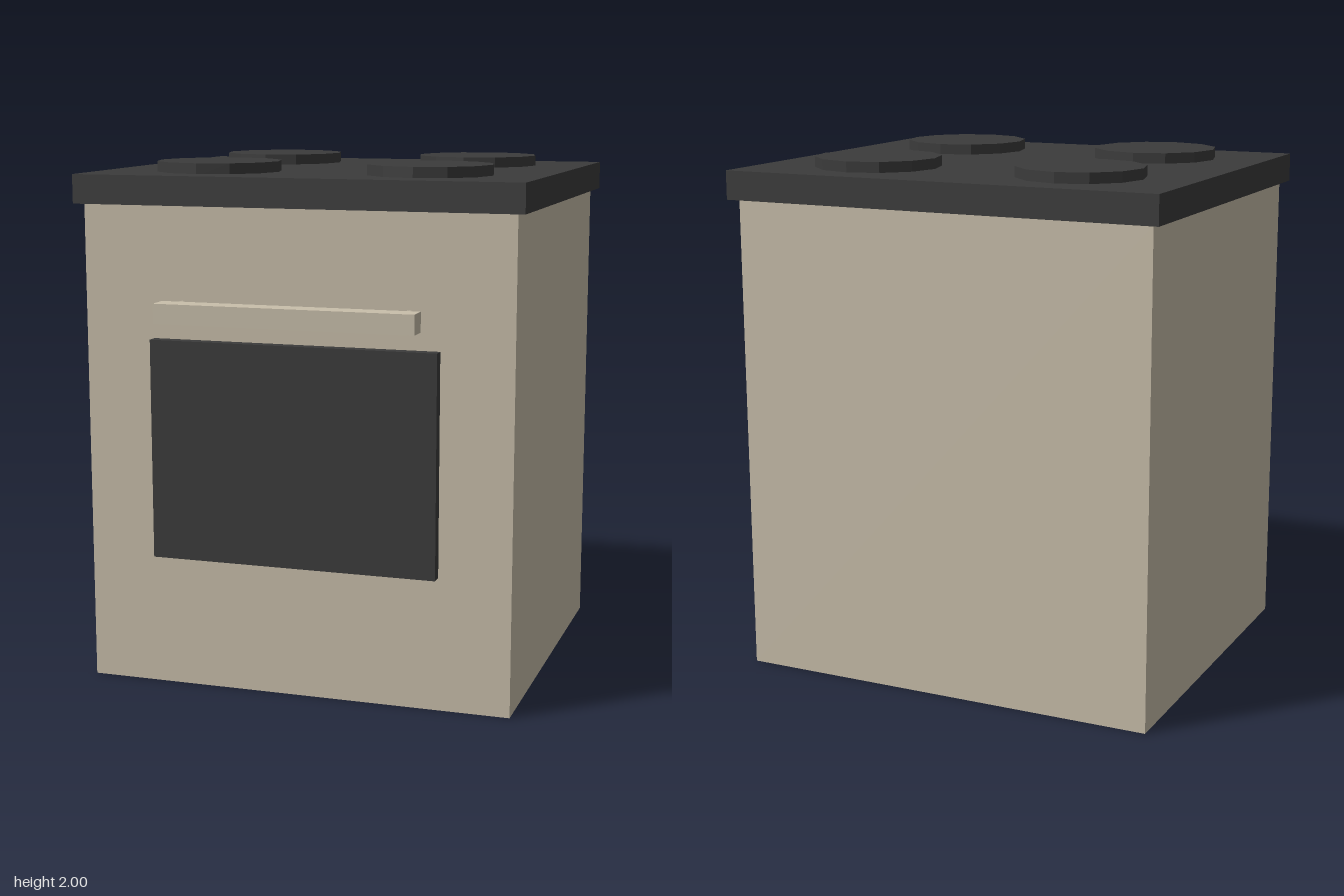
import * as THREE from 'three';

export function createModel() {
  const stove = new THREE.Group();
  stove.name = 'stove';

  const cream = new THREE.MeshStandardMaterial({ color: 0xc9bfab, flatShading: true });
  cream.name = 'cream enamel';
  const black = new THREE.MeshStandardMaterial({ color: 0x3b3b3b, flatShading: true });
  black.name = 'black glass';

  const add = (name, geometry, material, x, y, z, parent = stove) => {
    const mesh = new THREE.Mesh(geometry, material);
    mesh.name = name;
    mesh.position.set(x, y, z);
    parent.add(mesh);
    return mesh;
  };

  // Box centred on x, given by its bottom/top and back/front limits
  const addBox = (name, material, width, y0, y1, z0, z1, parent) =>
    add(name, new THREE.BoxGeometry(width, y1 - y0, z1 - z0), material,
      0, (y0 + y1) / 2, (z0 + z1) / 2, parent);

  // Cabinet, worktop and oven window
  addBox('body', cream, 1.664, 0, 1.85, -0.77, 0.663);
  addBox('cooktop', black, 1.728, 1.85, 1.96, -0.805, 0.695);
  addBox('ovenWindow', black, 1.112, 0.51, 1.35, 0.65, 0.708);

  // Four twelve-sided hot plates
  const plate = new THREE.CylinderGeometry(0.242, 0.242, 0.05, 12);
  for (const x of [-0.42, 0.42]) {
    for (const z of [-0.433, 0.317]) add('hotPlate', plate, black, x, 1.975, z);
  }

  // Door handle: square bar on two octagonal posts
  const handle = new THREE.Group();
  handle.name = 'doorHandle';
  stove.add(handle);
  addBox('handleBar', cream, 0.996, 1.425, 1.5, 0.72, 0.805, handle);
  const post = new THREE.CylinderGeometry(0.037, 0.037, 0.11, 8).rotateX(Math.PI / 2);
  for (const x of [-0.44, 0.44]) add('handlePost', post, cream, x, 1.46, 0.705, handle);

  return stove;
}
